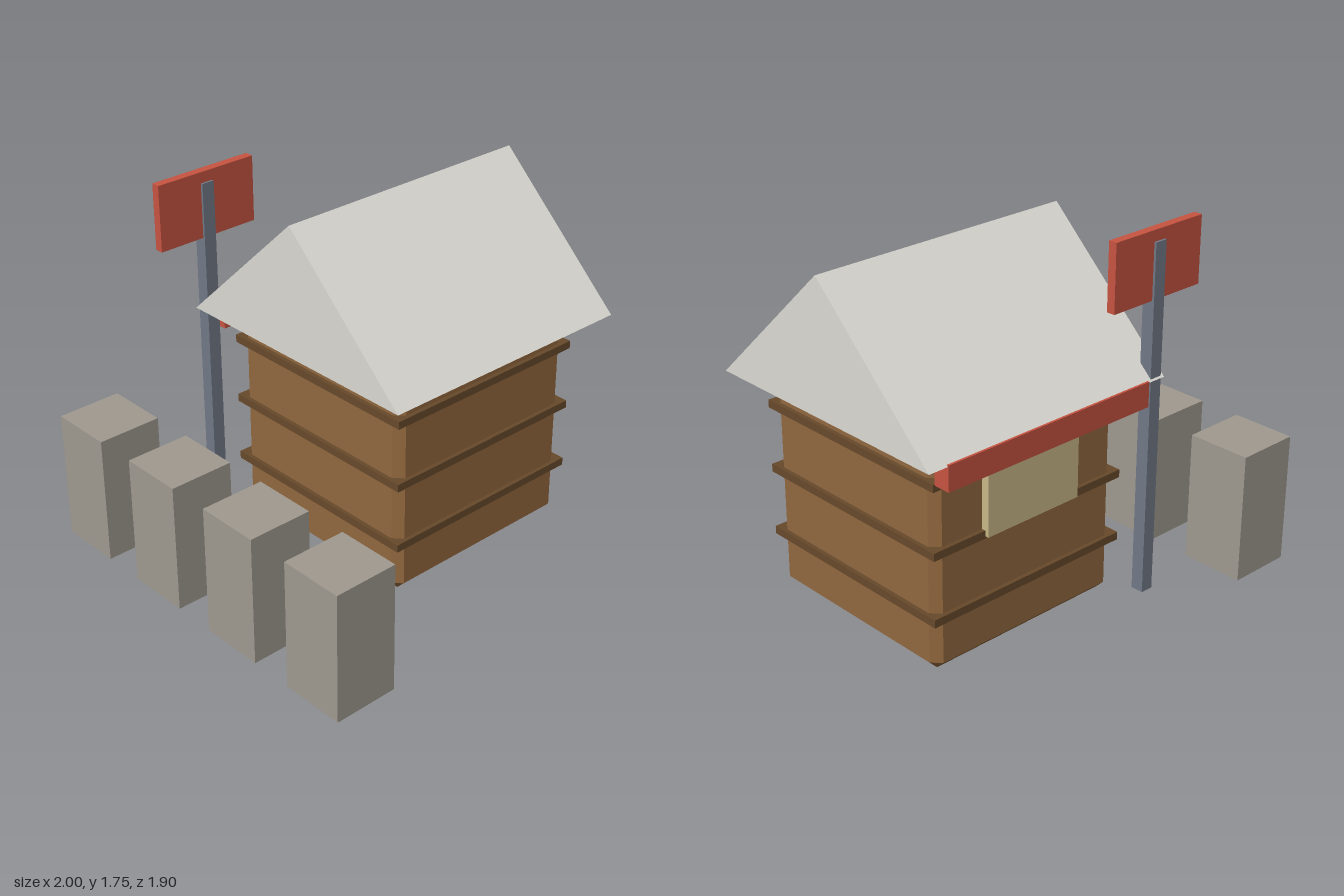
import * as THREE from 'three';
import { ConvexGeometry } from 'three/addons/geometries/ConvexGeometry.js';

const material = (name, color) => {
  const m = new THREE.MeshStandardMaterial({ color });
  m.name = name;
  return m;
};

// Box with every edge and corner cut off at 45 degrees
function chamferedBox(w, h, d, c) {
  const points = [];
  for (const x of [-1, 1]) for (const y of [-1, 1]) for (const z of [-1, 1]) {
    for (let axis = 0; axis < 3; axis++) {
      const inset = [c, c, c];
      inset[axis] = 0;
      points.push(new THREE.Vector3(
        x * (w / 2 - inset[0]), y * (h / 2 - inset[1]), z * (d / 2 - inset[2])));
    }
  }
  return new ConvexGeometry(points);
}

export function createModel() {
  const model = new THREE.Group();
  model.name = 'kiosk';

  const wood = material('wood', 0x93693f);
  const darkWood = material('darkWood', 0x684a2b);
  const canvas = material('paleRoof', 0xdddbd4);
  const red = material('red', 0xc85442);
  const steel = material('steel', 0x727a88);
  const stone = material('stone', 0xa09a90);
  const cream = material('cream', 0xcab988);

  const add = (name, geometry, mat, x, y, z) => {
    const mesh = new THREE.Mesh(geometry, mat);
    mesh.name = name;
    mesh.position.set(x, y, z);
    model.add(mesh);
    return mesh;
  };
  const box = (name, mat, w, h, d, x, y, z) =>
    add(name, new THREE.BoxGeometry(w, h, d), mat, x, y, z);

  // Hut body with three surrounding bands
  const cx = 0.32, cz = -0.053;
  add('body', chamferedBox(1.06, 1.06, 1.06, 0.042), wood, cx, 0.53, cz);
  [0.268, 0.586, 0.904].forEach((y, i) =>
    box('band' + (i + 1), darkWood, 1.1, 0.038, 1.1, cx, y, cz));

  // Gabled roof, ridge along x
  const gable = new THREE.Shape();
  gable.moveTo(-0.676, 0);
  gable.lineTo(0.676, 0);
  gable.lineTo(0, 0.636);
  gable.closePath();
  const roof = new THREE.ExtrudeGeometry(gable, { depth: 1.357, bevelEnabled: false });
  roof.translate(0, 0, -1.357 / 2).rotateY(Math.PI / 2);
  add('roof', roof, canvas, cx, 1.061, cz);

  // Serving hatch and fascia at the back
  box('hatch', cream, 0.53, 0.333, 0.06, cx, 0.745, -0.592);
  box('fascia', red, 1.16, 0.12, 0.085, cx, 1.008, -0.69);

  // Signpost with blank board
  box('signPost', steel, 0.064, 1.696, 0.064, -0.313, 0.848, -0.689);
  box('signBoard', red, 0.53, 0.318, 0.042, -0.313, 1.59, -0.689);

  // Row of bollards
  for (let i = 0; i < 4; i++) {
    box('bollard' + (i + 1), stone, 0.318, 0.636, 0.318, -0.841, 0.318, -0.793 + i * 0.5287);
  }

  return model;
}
